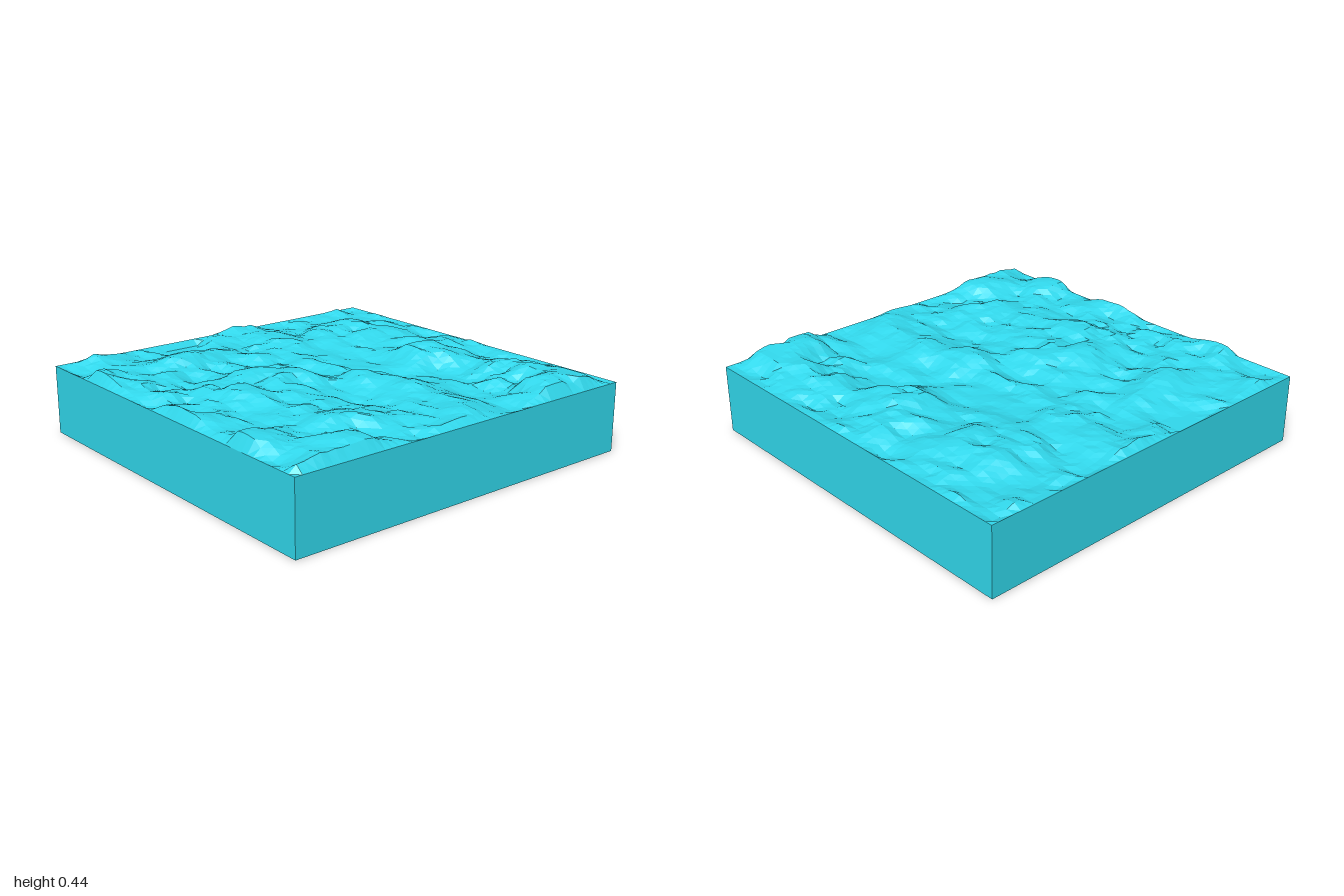
import * as THREE from 'three';

const SEG = 50, RIM = 0.36, LOW = 0.33;

// Highest crest allowed along each axis: [position, height]
const crestX = [[-1, 0.39], [-0.95, 0.405], [-0.8, 0.382], [-0.6, 0.418], [-0.4, 0.412], [-0.3, 0.405],
  [-0.13, 0.428], [-0.06, 0.415], [0.02, 0.428], [0.3, 0.408], [0.45, 0.41], [0.6, 0.428], [0.74, 0.415],
  [0.88, 0.443], [0.96, 0.425], [1, 0.41]];
const crestZ = [[-1, 0.385], [-0.93, 0.405], [-0.85, 0.417], [-0.62, 0.443], [-0.48, 0.42], [-0.33, 0.375],
  [-0.1, 0.417], [0.05, 0.41], [0.2, 0.415], [0.35, 0.43], [0.5, 0.416], [0.65, 0.43], [0.8, 0.412],
  [0.95, 0.432], [1, 0.425]];

// Broad swells and hollows: [x, z, amount, radius]
const swells = [
  [0.9, -0.62, 0.8, 0.2], [0.58, 0.94, 0.6, 0.2], [0.1, -0.6, 0.4, 0.18], [0.25, -0.38, -0.3, 0.18],
  [0.28, -0.03, 0.35, 0.16], [0.48, 0.1, -0.3, 0.16], [-0.95, 0.25, -0.6, 0.18], [-0.15, -0.97, -0.4, 0.12],
  [-0.05, -0.82, 0.3, 0.12], [0.85, -0.97, -0.5, 0.12], [-0.65, 0.47, 0.35, 0.15], [-0.5, 0.62, -0.25, 0.14],
  [-0.62, -0.55, 0.3, 0.13], [0.93, 0.57, 0.4, 0.15], [-0.13, 0.36, 0.35, 0.14], [-0.55, -0.25, 0.3, 0.14],
  [-0.95, -0.7, -0.35, 0.14], [-0.88, 0.95, -0.35, 0.14], [-0.1, 0.95, -0.3, 0.15], [0.93, 0.93, -0.35, 0.1],
  [-0.95, 0.75, 0.3, 0.12],
];

function profile(points, t) {
  for (let i = 1; i < points.length; i++) {
    const [a, ha] = points[i - 1], [b, hb] = points[i];
    if (t <= b) return THREE.MathUtils.lerp(ha, hb, THREE.MathUtils.smoothstep(t, a, b));
  }
  return points[points.length - 1][1];
}

// Repeatable lattice noise in 0..1
function hash(i, j) {
  const n = Math.sin(i * 127.1 + j * 311.7 + 7.3) * 43758.5453;
  return n - Math.floor(n);
}
function noise(x, z) {
  const i = Math.floor(x), j = Math.floor(z);
  const u = THREE.MathUtils.smoothstep(x - i, 0, 1), v = THREE.MathUtils.smoothstep(z - j, 0, 1);
  const lerp = THREE.MathUtils.lerp;
  return lerp(lerp(hash(i, j), hash(i + 1, j), u), lerp(hash(i, j + 1), hash(i + 1, j + 1), u), v);
}

function waveHeight(x, z) {
  // Ripples run slightly diagonally, with finer chop on top
  const a = x - 0.25 * z, b = z + 0.25 * x;
  let n = 0.45 * noise(a * 4 + 20, b * 5 + 20) + 0.35 * noise(a * 8 + 50, b * 11 + 50)
    + 0.2 * noise(a * 14 + 90, b * 18 + 90);
  n = 0.54 + (n - 0.5) * 1.6;
  for (const [sx, sz, amount, r] of swells) {
    n += amount * Math.exp(-((x - sx) ** 2 + (z - sz) ** 2) / (r * r));
  }
  const top = Math.min(profile(crestX, x), profile(crestZ, z));
  return LOW + THREE.MathUtils.clamp(n, 0, 1) * (top - LOW);
}

export function createModel() {
  const model = new THREE.Group();
  const material = new THREE.MeshStandardMaterial({ color: 0x31d8ec, flatShading: true });

  // Rippled water surface, pinned to the rim along its border
  const surface = new THREE.PlaneGeometry(2, 2, SEG, SEG).rotateX(-Math.PI / 2);
  const p = surface.attributes.position;
  for (let i = 0; i < p.count; i++) {
    const x = p.getX(i), z = p.getZ(i);
    const onRim = Math.max(Math.abs(x), Math.abs(z)) > 0.999;
    p.setY(i, onRim ? RIM : waveHeight(x, z));
  }
  surface.computeVertexNormals();
  const water = new THREE.Mesh(surface, material);
  water.name = 'waterSurface';
  model.add(water);

  // Four walls of the block
  const walls = new THREE.Group();
  walls.name = 'blockWalls';
  for (let k = 0; k < 4; k++) {
    const wall = new THREE.Mesh(new THREE.PlaneGeometry(2, RIM).translate(0, RIM / 2, 1), material);
    wall.rotation.y = k * Math.PI / 2;
    wall.name = 'wall' + (k + 1);
    walls.add(wall);
  }
  model.add(walls);

  // Flat underside
  const bottom = new THREE.Mesh(new THREE.PlaneGeometry(2, 2).rotateX(Math.PI / 2), material);
  bottom.name = 'blockBottom';
  model.add(bottom);

  return model;
}
